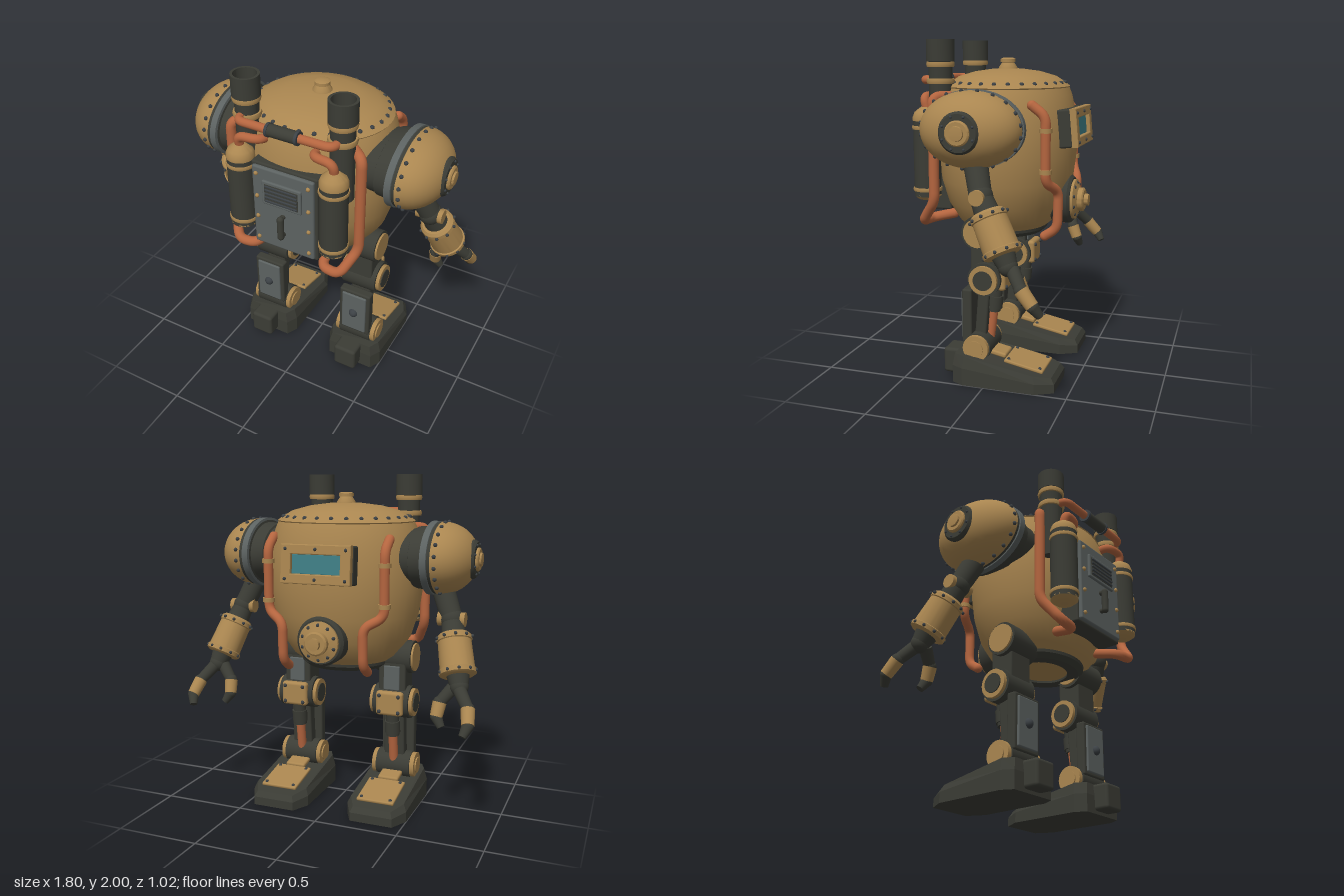
import * as THREE from 'three';
import { mergeGeometries, toCreasedNormals } from 'three/addons/utils/BufferGeometryUtils.js';
import { RoundedBoxGeometry } from 'three/addons/geometries/RoundedBoxGeometry.js';

const material = (name, color) => Object.assign(new THREE.MeshStandardMaterial({ color }), { name });
const brass = material('brass', 0xaa8650);
const iron = material('dark iron', 0x3b3c35);
const steel = material('steel', 0x5c6261);
const copper = material('copper', 0xb4653f);
const glass = material('teal glass', 0x3f7d84);
const bolt = material('bolt', 0x3c4145);

const V = (x, y, z) => new THREE.Vector3(x, y, z);
const UP = V(0, 1, 0);

export function createModel() {
  const root = new THREE.Group();
  let parent = root;

  const add = (name, geo, mat, pos = [0, 0, 0]) => {
    const m = new THREE.Mesh(geo, mat);
    m.name = name;
    m.position.set(...pos);
    parent.add(m);
    return m;
  };
  const group = (name, pos = [0, 0, 0]) => {
    const g = new THREE.Group();
    g.name = name;
    g.position.set(...pos);
    root.add(g);
    return (parent = g);
  };
  const box = (name, mat, size, pos, r = 0.012) => add(name, new RoundedBoxGeometry(...size, 2, r), mat, pos);
  // cylinder or cone between two points
  const rod = (name, mat, a, b, ra, rb = ra) => {
    const A = V(...a), B = V(...b), d = B.clone().sub(A);
    const m = add(name, new THREE.CylinderGeometry(rb, ra, d.length(), 28), mat);
    m.position.copy(A.add(B).multiplyScalar(0.5));
    m.quaternion.setFromUnitVectors(UP, d.normalize());
    return m;
  };
  // turned profile of [radius, height] pairs along an axis
  const turned = (name, mat, pts, pos = [0, 0, 0], dir = UP, zs = 1) => {
    const g = new THREE.LatheGeometry(pts.map(p => new THREE.Vector2(...p)), 48);
    const m = add(name, toCreasedNormals(g, 0.6), mat, pos);
    m.quaternion.setFromUnitVectors(UP, dir);
    m.scale.z = zs;
    return m;
  };
  const rivets = (name, mat, pts, r = 0.011) => add(name, mergeGeometries(
    pts.map(p => new THREE.SphereGeometry(r, 8, 6).translate(...p))), mat);
  const ring = (c, dir, r, n, zs = 1) => {
    const q = new THREE.Quaternion().setFromUnitVectors(UP, dir);
    return Array.from({ length: n }, (_, i) => {
      const t = (i + 0.5) / n * Math.PI * 2;
      return V(Math.cos(t) * r, 0, Math.sin(t) * r * zs).applyQuaternion(q).add(V(...c)).toArray();
    });
  };
  // pipe with rounded elbows and round ends
  const pipe = (name, pts, r) => {
    const p = pts.map(a => V(...a)), path = new THREE.CurvePath();
    let last = p[0];
    for (let i = 1; i < p.length - 1; i++) {
      const toward = (q) => p[i].clone().add(q.clone().sub(p[i]).setLength(Math.min(0.05, q.distanceTo(p[i]) * 0.45)));
      const a = toward(p[i - 1]), b = toward(p[i + 1]);
      path.add(new THREE.LineCurve3(last, a));
      path.add(new THREE.QuadraticBezierCurve3(a, p[i], b));
      last = b;
    }
    path.add(new THREE.LineCurve3(last, p[p.length - 1]));
    add(name, new THREE.TubeGeometry(path, 90, r, 14), copper);
    for (const e of [pts[0], pts[pts.length - 1]]) add(name + 'End', new THREE.SphereGeometry(r, 14, 10), copper, e);
  };

  // barrel body with domed lid
  group('body');
  turned('barrel', brass, [[0, 0.86], [0.24, 0.865], [0.33, 0.93], [0.405, 1.04], [0.45, 1.18], [0.472, 1.33],
    [0.474, 1.45], [0.462, 1.57], [0.435, 1.68], [0.415, 1.725]], undefined, UP, 0.88);
  turned('lid', brass, [[0.41, 1.715], [0.42, 1.73], [0.4, 1.745], [0.33, 1.787], [0.22, 1.816], [0.1, 1.831], [0, 1.835]], undefined, UP, 0.88);
  rivets('lidRivets', bolt, ring([0, 1.75, 0], UP, 0.385, 28, 0.88), 0.014);
  turned('lidKnob', brass, [[0.057, 1.82], [0.055, 1.84], [0.036, 1.868], [0.045, 1.87], [0.045, 1.888], [0.03, 1.895], [0, 1.895]]);
  turned('baseRing', iron, [[0.17, 0.88], [0.17, 0.85], [0.24, 0.848], [0.275, 0.875], [0.28, 0.9]], undefined, UP, 0.88);

  // viewing window, leaning back a little
  const win = group('window', [0, 1.5, -0.4]);
  win.rotation.x = 0.09;
  box('windowBacking', iron, [0.43, 0.22, 0.08], [0, 0, 0]);
  const rect = (c, w, h) => c.moveTo(-w, -h).lineTo(w, -h).lineTo(w, h).lineTo(-w, h).closePath();
  const frame = rect(new THREE.Shape(), 0.205, 0.105);
  frame.holes.push(rect(new THREE.Path(), 0.155, 0.06));
  add('windowFrame', new THREE.ExtrudeGeometry(frame, { depth: 0.03, bevelSize: 0.006, bevelThickness: 0.006, bevelSegments: 2 }), brass, [0, 0, -0.068]);
  box('windowPane', glass, [0.3, 0.11, 0.008], [0, 0, -0.047], 0.003);
  rivets('windowRivets', bolt, [-0.182, 0, 0.182].flatMap(x => [-0.084, 0.084].map(y => [x, y, -0.075])), 0.01);

  // round valve below the window
  group('valve', [0, 1.06, 0]);
  const back = V(0, 0, -1);
  turned('valveBase', iron, [[0.145, 0.3], [0.145, 0.4], [0.13, 0.415], [0, 0.415]], undefined, back);
  turned('valveFlange', brass, [[0.12, 0.41], [0.12, 0.43], [0.07, 0.448], [0.07, 0.475], [0.06, 0.482], [0.035, 0.482], [0.035, 0.507], [0, 0.51]], undefined, back);
  rivets('valveRivets', bolt, ring([0, 0, -0.432], back, 0.1, 10), 0.012);

  // service door with vent and handle
  group('door');
  box('doorFrame', iron, [0.42, 0.56, 0.14], [0, 1.27, 0.365]);
  box('doorPlate', steel, [0.39, 0.53, 0.03], [0, 1.27, 0.44]);
  box('ventFrame', steel, [0.25, 0.155, 0.02], [0, 1.385, 0.46], 0.008);
  box('ventOpening', iron, [0.215, 0.12, 0.008], [0, 1.385, 0.468], 0.003);
  for (let i = 0; i < 5; i++) box('ventSlat', bolt, [0.205, 0.012, 0.012], [0, 1.337 + i * 0.024, 0.473], 0.004);
  add('doorHandle', new THREE.CapsuleGeometry(0.02, 0.12, 6, 14), iron, [0, 1.185, 0.486]);
  for (const y of [1.125, 1.245]) rod('handlePost', iron, [0, y, 0.45], [0, y, 0.486], 0.015);
  rivets('doorRivets', brass, [-0.165, 0.165].flatMap(x => [1.05, 1.2, 1.34, 1.49].map(y => [x, y, 0.457])), 0.013);

  // pipe joining the two chimneys
  group('crossPipe');
  pipe('crossPipeTube', [[-0.295, 1.77, 0.3], [-0.295, 1.77, 0.425], [0.295, 1.77, 0.425], [0.295, 1.77, 0.3]], 0.025);
  rod('crossPipeSleeve', iron, [-0.095, 1.77, 0.425], [0.095, 1.77, 0.425], 0.036);
  for (const x of [-0.09, 0.09]) rod('sleeveCollar', bolt, [x - 0.008, 1.77, 0.425], [x + 0.008, 1.77, 0.425], 0.04);

  for (const s of [1, -1]) {
    const side = s > 0 ? 'left' : 'right';
    const P = (x, y, z) => [s * x, y, z];
    const out = V(s, 0, 0);

    // chimney and tank
    group(side + 'Stack', P(0.295, 0, 0.315));
    turned('chimney', iron, [[0, 1.4], [0.068, 1.4], [0.068, 1.78], [0.07, 1.87], [0.081, 1.875], [0.081, 2], [0.066, 2], [0.066, 1.88], [0, 1.88]]);
    for (const y of [1.75, 1.845]) turned('chimneyBand', brass, [[0.06, y], [0.078, y], [0.082, y + 0.015], [0.078, y + 0.03], [0.06, y + 0.03]]);
    group(side + 'Tank', P(0.295, 0, 0.408));
    turned('tankBody', iron, [[0, 1.09], [0.08, 1.09], [0.08, 1.54], [0, 1.54]]);
    turned('tankTop', brass, [[0.082, 1.535], [0.082, 1.555], [0.07, 1.585], [0.045, 1.605], [0.03, 1.615], [0, 1.615]]);
    turned('tankBottom', brass, [[0, 1.065], [0.055, 1.07], [0.08, 1.09], [0.08, 1.1], [0, 1.1]]);
    for (const y of [1.12, 1.485]) turned('tankBand', brass, [[0.07, y], [0.084, y], [0.087, y + 0.011], [0.084, y + 0.022], [0.07, y + 0.022]]);

    // copper plumbing
    group(side + 'Pipes');
    pipe('tankPipe', [P(0.295, 1.58, 0.4), P(0.295, 1.675, 0.425), P(0.17, 1.675, 0.41), P(0.15, 1.66, 0.33)], 0.026);
    pipe('sidePipe', [P(0.33, 1.68, 0.25), P(0.41, 1.68, 0.32), P(0.41, 1.08, 0.32), P(0.34, 0.94, 0.425), P(0.22, 0.94, 0.41), P(0.2, 0.97, 0.28)], 0.03);
    pipe('facePipe', [P(0.36, 1.64, -0.25), P(0.36, 1.58, -0.33), P(0.36, 1.21, -0.33), P(0.25, 1.15, -0.38), P(0.25, 0.93, -0.375), P(0.25, 0.88, -0.3)], 0.028);
    for (const y of [1.26, 1.49]) rod('pipeClamp', brass, P(0.36, y, -0.33), P(0.36, y + 0.025, -0.33), 0.036);

    // oval shoulder
    group(side + 'Shoulder', P(0, 1.52, 0.022));
    turned('shoulderCollar', iron, [[0, 0.34], [0.17, 0.34], [0.17, 0.45], [0.18, 0.455], [0.187, 0.53], [0.207, 0.535], [0.207, 0.6], [0, 0.6]], undefined, out, 1.36);
    turned('shoulderRing', steel, [[0.2, 0.532], [0.214, 0.535], [0.214, 0.572], [0.2, 0.575]], undefined, out, 1.36);
    turned('shoulderDome', brass, Array.from({ length: 11 }, (_, i) => {
      const t = i / 10 * Math.PI / 2;
      return [0.21 * Math.cos(t), 0.592 + 0.212 * Math.sin(t)];
    }), undefined, out, 1.36);
    rivets('shoulderRivets', bolt, ring(P(0.617, 0, 0), out, 0.21, 20, 1.36), 0.012);
    turned('shoulderBoss', iron, [[0.112, 0.7], [0.112, 0.785], [0.1, 0.8], [0, 0.8]], undefined, out);
    turned('shoulderCap', brass, [[0.068, 0.79], [0.068, 0.81], [0.06, 0.817], [0.04, 0.817], [0.038, 0.828], [0, 0.832]], undefined, out);
    rivets('capRivets', bolt, ring(P(0.802, 0, 0), out, 0.09, 8), 0.008);

    // arm
    group(side + 'Arm');
    const elbow = P(0.68, 1.18, -0.06), cuff = P(0.705, 1.095, -0.105), wrist = P(0.762, 0.885, -0.215);
    rod('upperArm', iron, P(0.6, 1.37, 0), elbow, 0.068, 0.062);
    add('elbow', new THREE.SphereGeometry(0.068, 24, 16), iron, elbow);
    rod('elbowPin', brass, P(0.6, 1.18, -0.06), P(0.76, 1.18, -0.06), 0.042);
    rod('elbowLink', iron, elbow, cuff, 0.06, 0.07);
    const d = V(...wrist).sub(V(...cuff)), len = d.length();
    d.normalize();
    turned('forearm', brass, [[0, -0.01], [0.085, -0.005], [0.1, 0.01], [0.102, 0.035], [0.096, 0.04], [0.1, len - 0.04], [0.108, len - 0.035], [0.106, len - 0.01], [0.09, len], [0, len]], cuff, d);
    for (const k of [0.022, len - 0.022])
      rivets('forearmRivets', bolt, ring(V(...cuff).addScaledVector(d, k).toArray(), d, 0.106, 10), 0.01);
    const palm = V(...wrist).addScaledVector(d, 0.06).toArray();
    rod('wrist', iron, wrist, palm, 0.065, 0.052);
    add('palm', new THREE.SphereGeometry(0.054, 20, 14), iron, palm);
    for (const f of [
      [P(0.785, 0.82, -0.27), P(0.85, 0.735, -0.335), P(0.866, 0.66, -0.4), P(0.845, 0.605, -0.435)],
      [P(0.74, 0.82, -0.235), P(0.672, 0.735, -0.265), P(0.662, 0.66, -0.295), P(0.695, 0.605, -0.31)]]) {
      rod('fingerBase', iron, f[0], f[1], 0.038, 0.033);
      add('fingerKnuckle', new THREE.SphereGeometry(0.038, 16, 12), iron, f[1]);
      rod('fingerMiddle', brass, f[1], f[2], 0.04, 0.036);
      add('fingerJoint', new THREE.SphereGeometry(0.034, 16, 12), iron, f[2]);
      rod('fingerTip', iron, f[2], f[3], 0.034, 0.022);
    }

    // leg, laid out around its own centre line
    group(side + 'Leg', P(0.315, 0, 0));
    const axle = (name, mat, w, r, y, z) => rod(name, mat, [-w, y, z], [w, y, z], r);
    axle('hip', iron, 0.112, 0.1, 0.91, 0.05);
    axle('hipCap', brass, 0.124, 0.085, 0.91, 0.05);
    box('thigh', iron, [0.17, 0.3, 0.15], [0, 0.78, 0.03]);
    box('thighPlate', steel, [0.1, 0.15, 0.02], [0, 0.79, -0.045], 0.006);
    axle('knee', iron, 0.112, 0.1, 0.635, 0.015);
    axle('kneeCap', brass, 0.134, 0.085, 0.635, 0.015);
    axle('kneeBolt', iron, 0.14, 0.058, 0.635, 0.015);
    box('kneePad', brass, [0.17, 0.15, 0.05], [0, 0.64, -0.08], 0.02);
    rivets('kneePadRivets', bolt, [-0.06, 0.06].flatMap(x => [0.59, 0.69].map(y => [x, y, -0.106])), 0.012);
    box('shin', iron, [0.13, 0.42, 0.07], [0, 0.4, 0.045]).rotation.x = -0.08;
    box('calfGuard', iron, [0.21, 0.33, 0.06], [0, 0.4, 0.125]);
    box('calfPlate', steel, [0.165, 0.29, 0.02], [0, 0.4, 0.157], 0.008);
    add('calfKnob', new THREE.SphereGeometry(0.03, 18, 12), bolt, [0, 0.4, 0.162]);
    rod('pistonSleeve', iron, [0, 0.57, -0.025], [0, 0.42, -0.01], 0.04);
    rod('pistonCollar', iron, [0, 0.515, -0.022], [0, 0.44, -0.014], 0.047);
    rod('pistonRod', copper, [0, 0.43, -0.01], [0, 0.2, 0.02], 0.028);
    axle('ankle', iron, 0.108, 0.085, 0.215, 0.063);
    axle('ankleCap', brass, 0.135, 0.078, 0.215, 0.063);
    axle('ankleBolt', brass, 0.143, 0.048, 0.215, 0.063);

    // wedge foot with chamfered toe
    const outline = new THREE.Shape([[-0.15, -0.2], [0.15, -0.2], [0.185, -0.13], [0.185, 0.31], [0.13, 0.415], [-0.13, 0.415], [-0.185, 0.31], [-0.185, -0.13]]
      .map(p => new THREE.Vector2(...p)));
    const foot = new THREE.ExtrudeGeometry(outline, { depth: 1, steps: 2, bevelEnabled: false }).rotateX(-Math.PI / 2);
    const v = foot.attributes.position;
    for (let i = 0; i < v.count; i++) {
      const z = v.getZ(i), level = v.getY(i), top = 0.175 - 0.175 * Math.max(0, 0.1 - z);
      v.setY(i, level > 0.9 ? top : level > 0.1 ? top * 0.6 : 0);
      if (level > 0.9) v.setXYZ(i, v.getX(i) * 0.9, v.getY(i), z * 0.95);
    }
    foot.computeVertexNormals();
    add('foot', foot, iron);
    box('heel', iron, [0.15, 0.155, 0.12], [0, 0.097, 0.228], 0.02);
    const toe = box('toePlate', brass, [0.23, 0.02, 0.24], [0, 0.131, -0.225], 0.008);
    const instep = box('instepPlate', brass, [0.13, 0.03, 0.12], [0, 0.172, -0.045]);
    toe.rotation.x = instep.rotation.x = -0.2;
    rivets('toeRivets', bolt, [-0.09, 0.09].flatMap(x => [[x, 0.159, -0.13], [x, 0.121, -0.32]]), 0.011);
  }
  return root;
}
